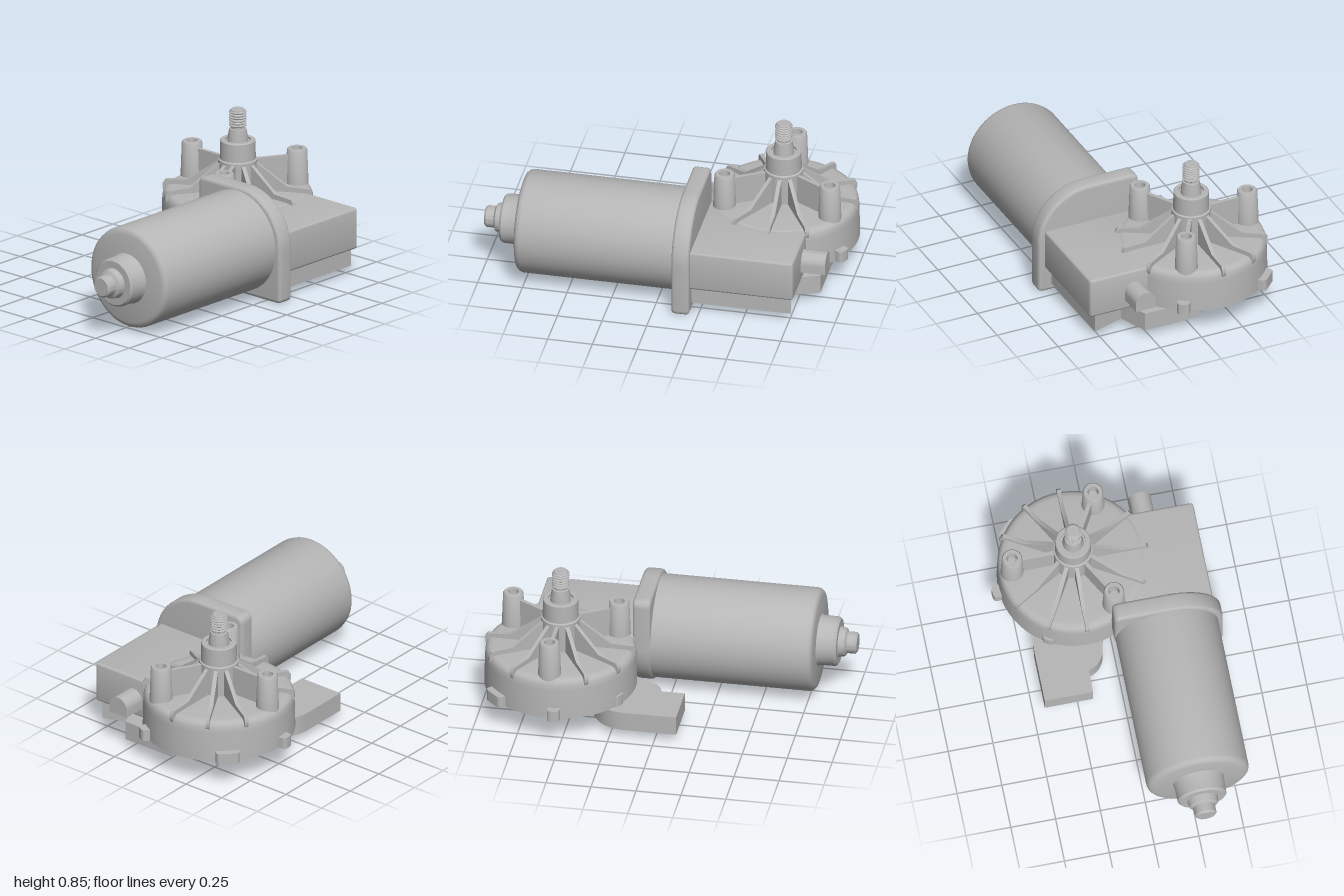
import * as THREE from 'three';
import { toCreasedNormals } from 'three/addons/utils/BufferGeometryUtils.js';

const HX = 0.575, HZ = -0.14; // gear axis

export function createModel() {
  const root = new THREE.Group();
  root.name = 'gearMotor';
  const metal = new THREE.MeshStandardMaterial({ color: 0xb6b6b6 });
  metal.name = 'grey metal';

  const add = (name, geo, x = 0, y = 0, z = 0, parent = root) => {
    const mesh = new THREE.Mesh(toCreasedNormals(geo, 0.6), metal);
    mesh.name = name;
    mesh.position.set(x, y, z);
    parent.add(mesh);
    return mesh;
  };
  // Profile of [radius, height] pairs, listed from bottom to top
  const lathe = (pts, seg = 48) =>
    new THREE.LatheGeometry(pts.map(p => new THREE.Vector2(...p)), seg);
  const extrude = (shape, depth, bevel = 0) => {
    const g = new THREE.ExtrudeGeometry(shape, {
      depth: depth - 2 * bevel, bevelEnabled: bevel > 0, bevelSize: bevel,
      bevelThickness: bevel, bevelOffset: -bevel, bevelSegments: 3, curveSegments: 20,
    });
    return g.translate(0, 0, bevel);
  };
  // Shapes are drawn as (x, -z) and rise along y
  const rise = (shape, depth, bevel) => extrude(shape, depth, bevel).rotateX(-Math.PI / 2);

  // Motor can with stepped bearing end, turned about x
  add('motorCan', lathe([
    [0, -0.79], [0.25, -0.79], [0.268, -0.785], [0.28, -0.773], [0.285, -0.755],
    [0.285, 0.12], [0, 0.12],
  ], 64).rotateZ(-Math.PI / 2), 0, 0.31, 0.29);
  add('motorBearingEnd', lathe([
    [0, -1], [0.05, -1], [0.06, -0.99], [0.06, -0.945], [0.078, -0.935], [0.085, -0.9],
    [0.125, -0.9], [0.136, -0.888], [0.138, -0.8], [0.145, -0.785], [0, -0.785],
  ]).rotateZ(-Math.PI / 2), 0, 0.31, 0.29);

  // Flange: two quarter-round corners, two nearly square ones, drawn as (-z, y)
  const R = 0.303, c = 0.045;
  const flange = new THREE.Shape();
  flange.moveTo(-R, -R + 0.03);
  flange.lineTo(-R, 0);
  flange.absarc(0, 0, R, Math.PI, Math.PI / 2, true);
  flange.lineTo(R - c, R);
  flange.quadraticCurveTo(R, R, R, R - c);
  flange.lineTo(R, 0);
  flange.absarc(0, 0, R, 0, -Math.PI / 2, true);
  flange.lineTo(-R + 0.03, -R);
  flange.quadraticCurveTo(-R, -R, -R, -R + 0.03);
  add('flange', extrude(flange, 0.1, 0.018).rotateY(Math.PI / 2), 0.103, 0.31, 0.302);

  // Gear housing: worm block plus round gear case
  const block = new THREE.Shape();
  block.moveTo(0.19, -0.568);
  block.lineTo(0.755, -0.568);
  block.quadraticCurveTo(0.777, -0.568, 0.777, -0.546);
  block.lineTo(0.777, 0);
  block.lineTo(0.19, 0);
  add('wormBlock', rise(block, 0.232, 0.012), 0, 0.158, 0);
  add('gearCase', lathe([
    [0, 0.158], [0.418, 0.158], [0.414, 0.33], [0.411, 0.36], [0.403, 0.38],
    [0.388, 0.391], [0.365, 0.394], [0, 0.394],
  ], 72), HX, 0, HZ);

  // Worm shaft stub with a flat underside
  const stub = new THREE.Shape();
  stub.moveTo(-0.06, 0);
  stub.lineTo(0.06, 0);
  stub.lineTo(0.06, 0.045);
  stub.absarc(0, 0.045, 0.06, 0, Math.PI, false);
  add('wormStub', extrude(stub, 0.15).rotateY(Math.PI / 2), 0.763, 0.216, 0.297);

  // Twelve radial ribs; every third-of-a-turn rib is tall and meets a screw post
  const ribShape = pts => new THREE.Shape(pts.map(p => new THREE.Vector2(...p)));
  const lowRib = ribShape([
    [0.05, 0.35], [0.41, 0.35], [0.419, 0.365], [0.419, 0.395], [0.405, 0.418],
    [0.28, 0.424], [0.1, 0.555], [0.05, 0.555],
  ]);
  const tallRib = ribShape([[0.05, 0.35], [0.32, 0.35], [0.32, 0.558], [0.05, 0.558]]);
  for (let i = 0; i < 12; i++) {
    const a = i * Math.PI / 6, tall = i % 4 === 3;
    const geo = extrude(tall ? tallRib : lowRib, 0.022).translate(0, 0, -0.011).rotateY(a);
    add(tall ? 'postRib' : 'rib', geo, HX, 0, HZ);
    if (tall) {
      add('screwPost', lathe([
        [0.064, 0.37], [0.056, 0.583], [0.05, 0.592], [0.03, 0.592], [0.026, 0.54], [0, 0.54],
      ], 32), HX + 0.34 * Math.cos(a), 0, HZ - 0.34 * Math.sin(a));
    }
  }

  // Hub and output shaft with a ringed thread
  add('hub', lathe([
    [0.108, 0.38], [0.108, 0.565], [0.099, 0.57], [0.097, 0.672], [0.092, 0.677],
    [0.07, 0.677], [0.07, 0.665], [0, 0.665],
  ]), HX, 0, HZ);
  const thread = [[0.058, 0.66], [0.056, 0.69], [0.047, 0.74], [0.038, 0.742], [0.038, 0.752]];
  for (let i = 0; i < 6; i++) {
    const y = 0.753 + i * 0.0152;
    thread.push([0.039, y], [0.047, y + 0.005], [0.047, y + 0.009], [0.039, y + 0.014]);
  }
  thread.push([0.039, 0.847], [0.034, 0.852], [0, 0.852]);
  add('outputShaft', lathe(thread, 32), HX, 0, HZ);

  // Lugs around the lower edge of the gear case: [angle, half width, reach]
  [[6, 0.13, 0.452], [95, 0.035, 0.46], [45, 0.065, 0.455], [-31, 0.035, 0.46],
    [150, 0.035, 0.43]].slice(1).forEach(([deg, w, reach]) => {
    const s = new THREE.Shape();
    s.moveTo(0.36, -w);
    s.lineTo(reach - 0.025, -w);
    s.quadraticCurveTo(reach, -w, reach, -w + 0.025);
    s.lineTo(reach, w - 0.025);
    s.quadraticCurveTo(reach, w, reach - 0.025, w);
    s.lineTo(0.36, w);
    add('caseLug', rise(s, 0.065).rotateY(deg * Math.PI / 180), HX, 0.158, HZ);
  });

  // Lower bearing boss
  add('lowerBoss', lathe([
    [0, 0.033], [0.075, 0.033], [0.088, 0.038], [0.093, 0.052], [0.095, 0.17],
  ]), HX, 0, HZ);

  // Mounting bracket below the case, sweeping around the boss to a flat tab
  const b = new THREE.Shape();
  b.moveTo(0.2, -0.53);
  b.lineTo(0.76, -0.53);
  b.lineTo(0.7, -0.345);
  b.lineTo(0.87, -0.28);
  b.lineTo(0.87, 0.05);
  b.lineTo(0.74, 0.05);
  b.quadraticCurveTo(0.68, -0.02, 0.575, -0.02);
  b.quadraticCurveTo(0.46, -0.02, 0.42, 0.12);
  b.bezierCurveTo(0.38, 0.3, 0.32, 0.435, 0.17, 0.435);
  b.lineTo(-0.12, 0.435);
  b.lineTo(-0.12, 0.165);
  b.lineTo(0.01, 0.165);
  b.bezierCurveTo(0.02, 0.1, 0.08, 0.06, 0.17, 0.06);
  b.quadraticCurveTo(0.25, 0.04, 0.25, -0.05);
  b.lineTo(0.2, -0.2);
  add('bracket', rise(b, 0.108), 0, 0.052, 0);

  return root;
}
